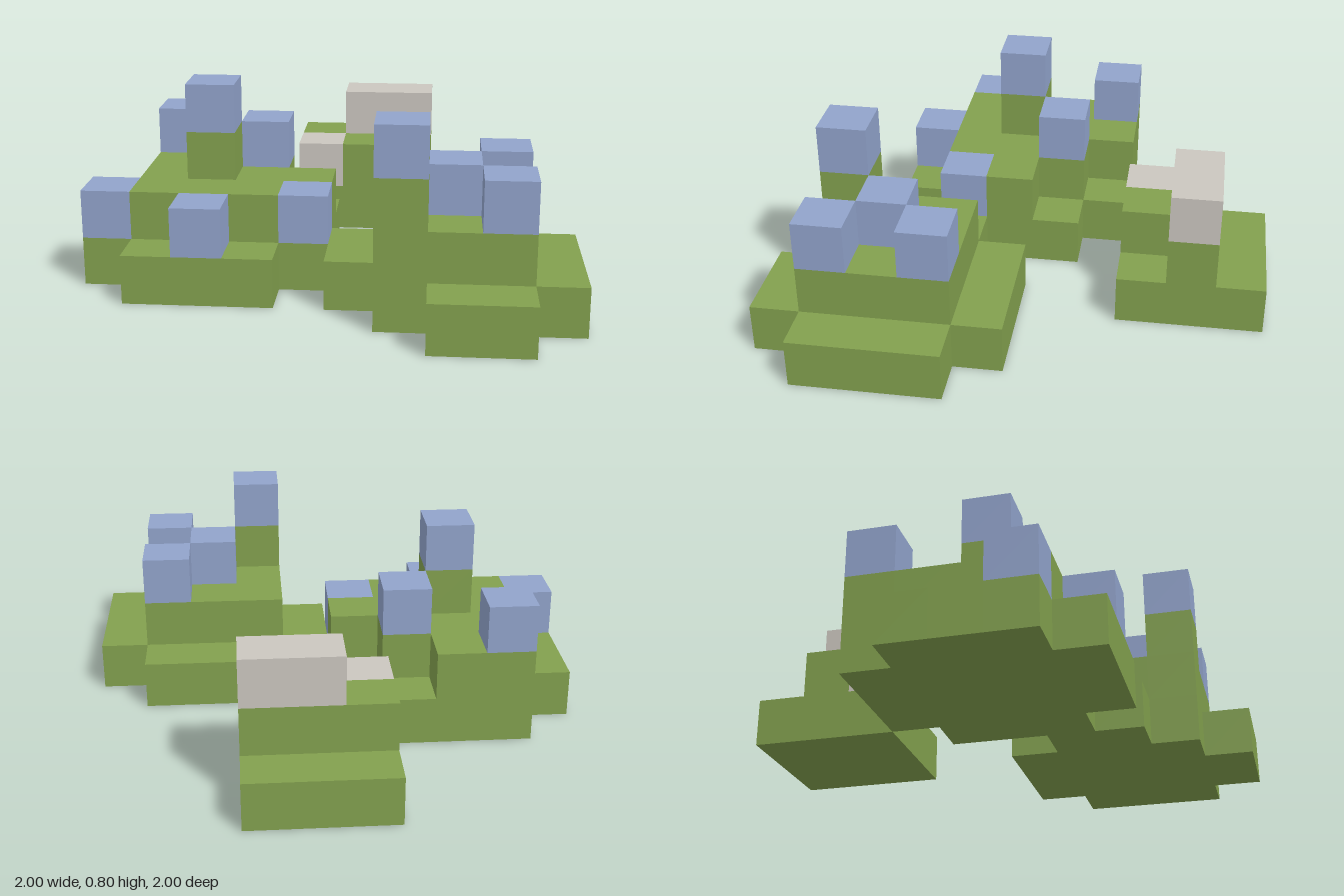
import * as THREE from 'three';
import { mergeGeometries } from 'three/addons/utils/BufferGeometryUtils.js';

const S = 0.2; // block size
// Block height of each column: rows run back to front, characters run from -x to +x
const heights = [
  '....111...',
  '....233...',
  '....221...',
  '.321......',
  '12231.....',
  '12422.111.',
  '2222212231',
  '.121.12321',
  '......4231',
  '.......11.',
];
// Top block of each column: b = blue, s = stone, otherwise grass
const caps = [
  '..........',
  '.....ss...',
  '....s.....',
  '.b........',
  '...b......',
  '..b.......',
  'b...b...b.',
  '..b....b..',
  '......b.b.',
  '..........',
];

const height = (i, j) => Number(heights[j]?.[i]) || 0;
const solid = (i, k, j) => k >= 0 && k < height(i, j);

// Outward directions with the turn that points a plane that way
const sides = [
  [1, 0, 0, 0, Math.PI / 2], [-1, 0, 0, 0, -Math.PI / 2],
  [0, 1, 0, -Math.PI / 2, 0], [0, -1, 0, Math.PI / 2, 0],
  [0, 0, 1, 0, 0], [0, 0, -1, 0, Math.PI],
];

// Exposed faces of one block
function blockFaces(i, k, j) {
  const faces = [];
  for (const [dx, dy, dz, rx, ry] of sides) {
    if (solid(i + dx, k + dy, j + dz)) continue;
    const g = new THREE.PlaneGeometry(S, S).rotateX(rx).rotateY(ry);
    g.translate(
      (i - 4.5 + dx / 2) * S,
      (k + 0.5 + dy / 2) * S,
      (j - 4.5 + dz / 2) * S
    );
    faces.push(g);
  }
  return faces;
}

const islandOf = (i, j) => (j < 3 ? 'backIsland' : i < 5 ? 'rightIsland' : 'leftIsland');

export function createModel() {
  const model = new THREE.Group();
  model.name = 'blockIslands';

  const colours = { grass: 0x82a04e, blue: 0x91a3cb, stone: 0xcbc6bf };
  const materials = {};
  for (const name in colours) {
    materials[name] = new THREE.MeshStandardMaterial({ color: colours[name] });
    materials[name].name = name;
  }
  const partNames = { grass: 'grassTerraces', blue: 'blueBlocks', stone: 'stoneBlocks' };

  // Sort the faces by island and colour
  const islands = { backIsland: {}, rightIsland: {}, leftIsland: {} };
  for (let j = 0; j < 10; j++) {
    for (let i = 0; i < 10; i++) {
      const h = height(i, j);
      const cap = { b: 'blue', s: 'stone' }[caps[j][i]] ?? 'grass';
      for (let k = 0; k < h; k++) {
        const kind = k === h - 1 ? cap : 'grass';
        const island = islands[islandOf(i, j)];
        (island[kind] ??= []).push(...blockFaces(i, k, j));
      }
    }
  }

  // One group per island, one mesh per colour
  for (const [name, kinds] of Object.entries(islands)) {
    const group = new THREE.Group();
    group.name = name;
    for (const [kind, faces] of Object.entries(kinds)) {
      const mesh = new THREE.Mesh(mergeGeometries(faces), materials[kind]);
      mesh.name = partNames[kind];
      group.add(mesh);
    }
    model.add(group);
  }
  return model;
}
